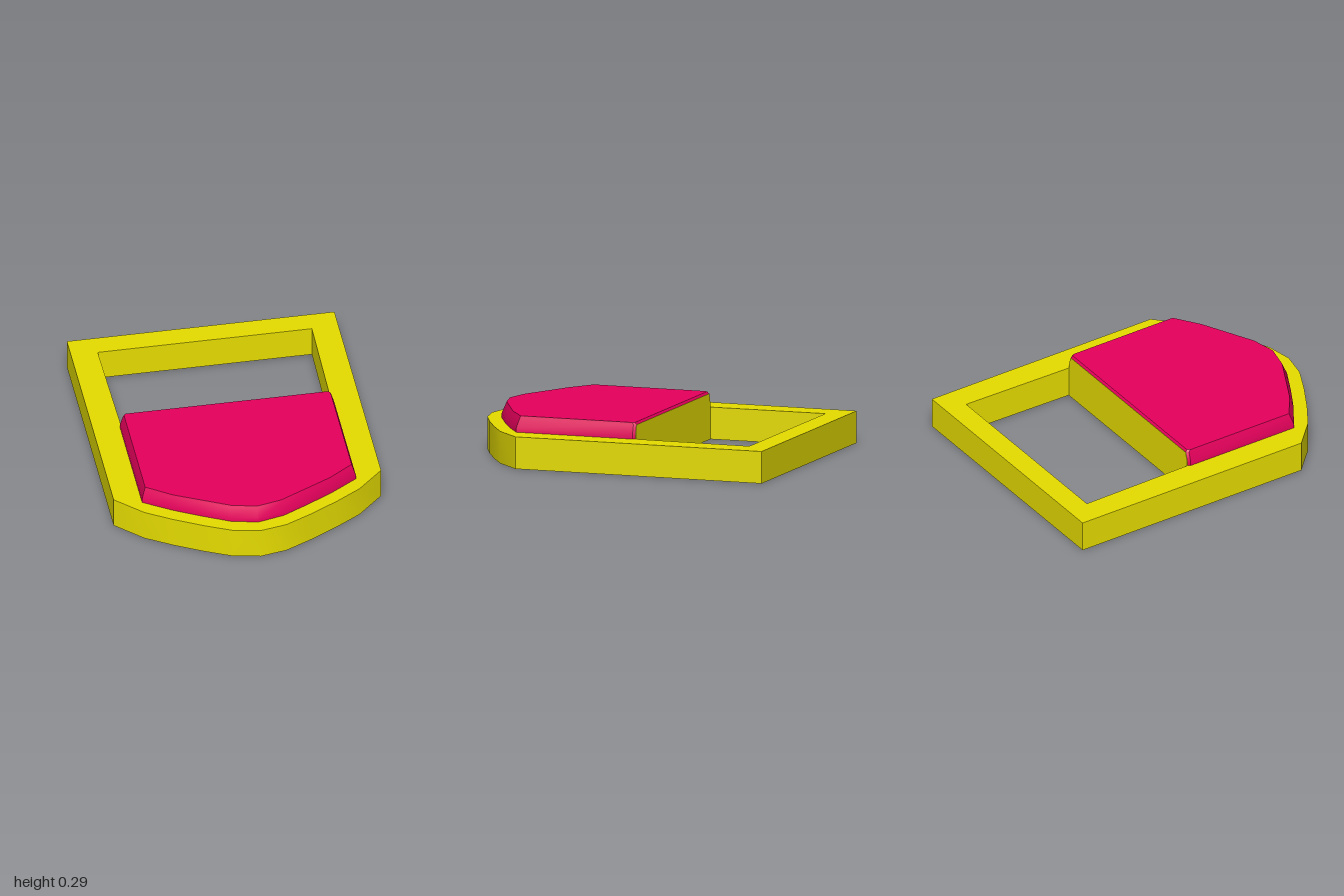
import * as THREE from 'three';
import { toCreasedNormals } from 'three/addons/utils/BufferGeometryUtils.js';

const yellow = new THREE.MeshStandardMaterial({ color: 0xe6dd00 });
const pink = new THREE.MeshStandardMaterial({ color: 0xe6005c });

const HEIGHT = 0.192;
const BACK = -0.14;

// Mirrors a right-hand half outline [x, z] running from back to front tip
function mirrored(half) {
  const left = half.filter(([x]) => x > 0).map(([x, z]) => [-x, z]).reverse();
  return [...half, ...left];
}

function part(name, geometry, material) {
  const mesh = new THREE.Mesh(geometry, material);
  mesh.name = name;
  return mesh;
}

// Shield-shaped frame with an open window at the back
function frameGeometry() {
  const outline = mirrored([[0.803, -1], [0.803, 0.553], [0.645, 0.707], [0.49, 0.803], [0.32, 0.895], [0.16, 0.97], [0, 1]]);
  const windowOutline = mirrored([[0.643, -0.863], [0.632, BACK]]);
  const toPoints = (list) => list.map(([x, z]) => new THREE.Vector2(x, -z));
  // The window runs the opposite way round, so its walls face inwards
  const shape = new THREE.Shape(toPoints(outline));
  shape.holes.push(new THREE.Path(toPoints(windowOutline).reverse()));
  const geometry = new THREE.ExtrudeGeometry(shape, { depth: HEIGHT, bevelEnabled: false });
  geometry.rotateX(-Math.PI / 2);
  return toCreasedNormals(geometry, 0.6);
}

// Raised pad: outlines stacked in rings, drawn in towards the top
function padGeometry() {
  const outer = [[0.642, 0.608], [0.48, 0.713], [0.32, 0.8], [0.16, 0.88], [0, 0.917]];
  const inner = [[0.62, 0.588], [0.47, 0.692], [0.31, 0.772], [0.15, 0.852], [0, 0.886]];
  const ring = (y, t, back) => {
    const front = outer.map(([x, z], i) => [
      THREE.MathUtils.lerp(x, inner[i][0], t),
      THREE.MathUtils.lerp(z, inner[i][1], t),
    ]);
    const side = front[0][0];
    return mirrored([[side - 0.012, back], [side, back + 0.015], ...front]).map(([x, z]) => [x, y, z]);
  };
  const rings = [
    ring(HEIGHT - 0.01, 0, BACK),
    ring(0.217, 0, BACK),
    ring(0.275, 0.83, BACK),
    ring(0.288, 1, BACK + 0.01),
  ];
  const n = rings[0].length;
  const positions = [];
  for (let r = 0; r < rings.length - 1; r++) {
    for (let i = 0; i < n; i++) {
      const j = (i + 1) % n;
      const [a, b, c, d] = [rings[r][i], rings[r][j], rings[r + 1][i], rings[r + 1][j]];
      positions.push(...a, ...c, ...b, ...b, ...c, ...d);
    }
  }
  // Flat top and underside
  const top = rings[rings.length - 1];
  const base = rings[0];
  for (let i = 1; i < n - 1; i++) {
    positions.push(...top[0], ...top[i + 1], ...top[i]);
    positions.push(...base[0], ...base[i], ...base[i + 1]);
  }
  const geometry = new THREE.BufferGeometry();
  geometry.setAttribute('position', new THREE.Float32BufferAttribute(positions, 3));
  return toCreasedNormals(geometry, 0.6);
}

// Wall of the window that rises to cover the back of the pad
function wallGeometry() {
  const half = [[0.63, 0], [0.63, 0.217], [0.612, 0.275]];
  const shape = new THREE.Shape(mirrored(half).map(([x, y]) => new THREE.Vector2(x, y)));
  const geometry = new THREE.ExtrudeGeometry(shape, { depth: 0.003, bevelEnabled: false });
  geometry.translate(0, 0, BACK - 0.002);
  return geometry;
}

export function createModel() {
  const model = new THREE.Group();
  model.name = 'shieldFrame';
  model.add(
    part('frame', frameGeometry(), yellow),
    part('pad', padGeometry(), pink),
    part('windowWall', wallGeometry(), yellow),
  );
  return model;
}
